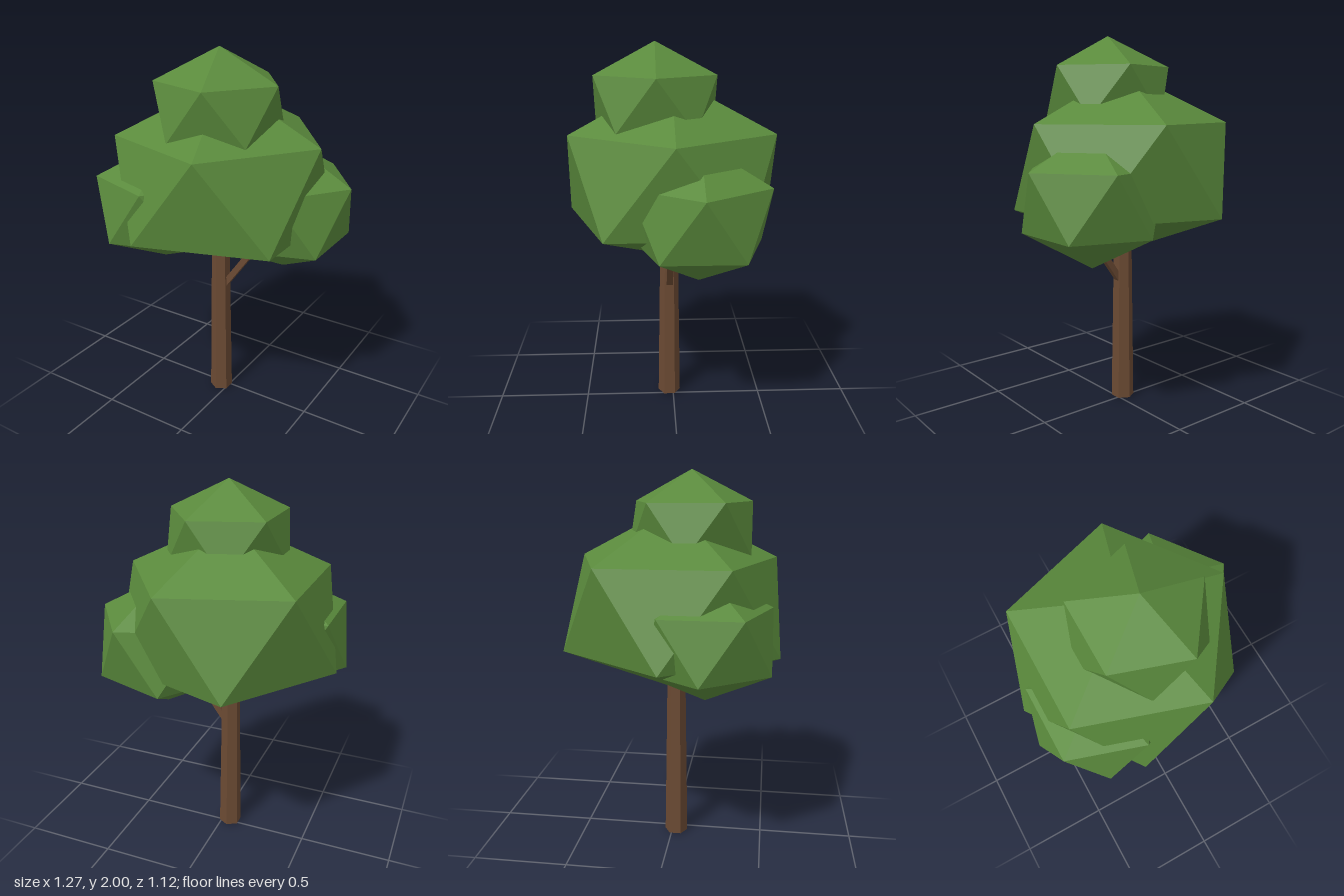
import * as THREE from 'three';

const leafMaterial = new THREE.MeshStandardMaterial({ color: 0x5a8a3c, flatShading: true });
const barkMaterial = new THREE.MeshStandardMaterial({ color: 0x6b4a33, flatShading: true });

// Faceted leaf clump: two staggered five-sided rings between a top and a bottom point.
// heights = [top, upper ring, lower ring, bottom]
function leafClump(name, x, z, upperRadius, lowerRadius, heights) {
  const [top, upperY, lowerY, bottom] = heights;
  const ringPoint = (step, radius, y) => {
    const a = (step * Math.PI * 2) / 5;
    return [x + radius * Math.cos(a), y, z + radius * Math.sin(a)];
  };
  const upper = (i) => ringPoint(i, upperRadius, upperY);
  const lower = (i) => ringPoint(i + 0.5, lowerRadius, lowerY);
  const positions = [];
  for (let i = 0; i < 5; i++) {
    positions.push(
      ...[x, top, z], ...upper(i + 1), ...upper(i),
      ...upper(i), ...upper(i + 1), ...lower(i),
      ...upper(i + 1), ...lower(i + 1), ...lower(i),
      ...lower(i), ...lower(i + 1), ...[x, bottom, z],
    );
  }
  const geometry = new THREE.BufferGeometry();
  geometry.setAttribute('position', new THREE.Float32BufferAttribute(positions, 3));
  geometry.computeVertexNormals();
  const mesh = new THREE.Mesh(geometry, leafMaterial);
  mesh.name = name;
  return mesh;
}

export function createModel() {
  const tree = new THREE.Group();
  tree.name = 'tree';

  // Tapered six-sided trunk, running up into the foliage
  const trunk = new THREE.Mesh(new THREE.CylinderGeometry(0.048, 0.063, 1, 6), barkMaterial);
  trunk.name = 'trunk';
  trunk.position.set(-0.045, 0.5, 0.022);
  tree.add(trunk);

  // Square side branch leaning into the left clump
  const start = new THREE.Vector3(-0.025, 0.676, 0.02);
  const end = new THREE.Vector3(0.21, 1.005, 0.02);
  const branch = new THREE.Mesh(new THREE.BoxGeometry(0.033, start.distanceTo(end), 0.035), barkMaterial);
  branch.name = 'branch';
  branch.position.copy(start).lerp(end, 0.5);
  branch.quaternion.setFromUnitVectors(new THREE.Vector3(0, 1, 0), end.clone().sub(start).normalize());
  tree.add(branch);

  // Foliage
  tree.add(
    leafClump('mainFoliage', -0.035, 0.01, 0.555, 0.59, [1.82, 1.55, 1.08, 0.85]),
    leafClump('topFoliage', 0, 0.095, 0.325, 0.33, [2, 1.84, 1.575, 1.42]),
    leafClump('leftFoliage', 0.27, -0.12, 0.365, 0.355, [1.53, 1.33, 1.005, 0.82]),
    leafClump('rightFoliage', -0.29, 0.2, 0.345, 0.347, [1.51, 1.335, 1.035, 0.87]),
  );
  return tree;
}
